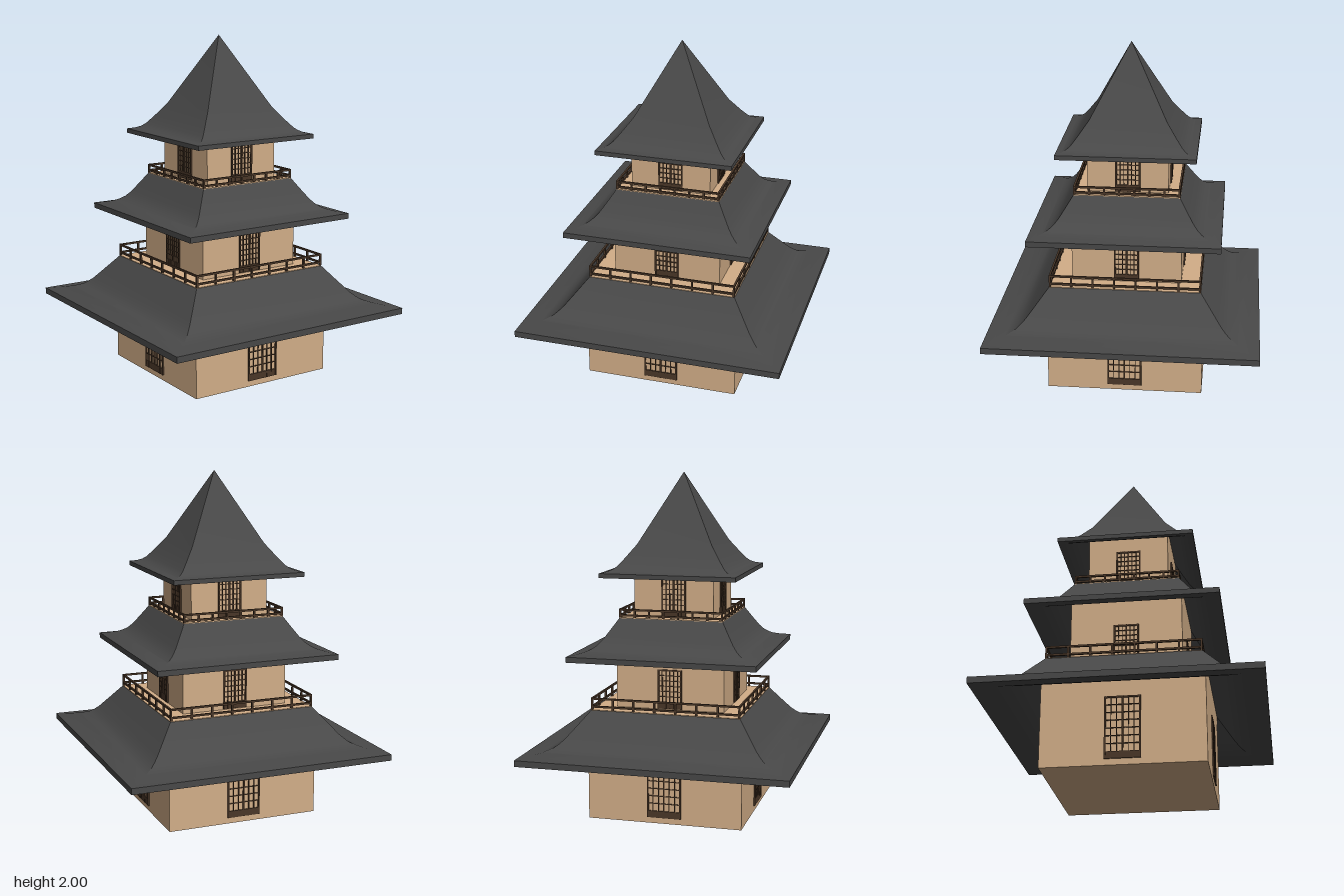
import * as THREE from 'three';
import { toCreasedNormals } from 'three/addons/utils/BufferGeometryUtils.js';

const plaster = new THREE.MeshStandardMaterial({ color: 0xd2ae88 });
const tiles = new THREE.MeshStandardMaterial({ color: 0x484848 });
const wood = new THREE.MeshStandardMaterial({ color: 0x4a3728 });

function box(parent, name, material, size, position) {
  const mesh = new THREE.Mesh(new THREE.BoxGeometry(...size), material);
  mesh.name = name;
  mesh.position.set(...position);
  parent.add(mesh);
  return mesh;
}

// Four copies of a side part, one facing each direction
function onFourSides(parent, name, build) {
  for (let i = 0; i < 4; i++) {
    const side = new THREE.Group();
    side.name = name;
    side.rotation.y = (i * Math.PI) / 2;
    build(side);
    parent.add(side);
  }
}

// Square hollow roof; profile lists [half width, height] from eave to top
function roof(profile, eaveThickness) {
  const underside = profile.map(([r, y]) => [r, y - eaveThickness]).reverse();
  const points = [...underside, ...profile].map(
    ([r, y]) => new THREE.Vector2(r * Math.SQRT2, y));
  const lathe = new THREE.LatheGeometry(points, 4);
  lathe.rotateY(Math.PI / 4);
  const mesh = new THREE.Mesh(toCreasedNormals(lathe, 0.45), tiles);
  mesh.name = 'roof';
  return mesh;
}

// Two-leaf lattice door with a solid kick panel
function latticeDoor(side, { half, bottom, top, rows }, wall) {
  const z = wall + 0.003;
  const height = top - bottom;
  const middle = (top + bottom) / 2;
  const kick = 0.04;
  box(side, 'kickPanel', wood, [half * 2, kick, 0.008], [0, bottom + kick / 2, z]);
  for (let i = 0; i <= 6; i++) {
    const w = i % 3 === 0 ? 0.009 : 0.004;
    const x = (half - 0.0045) * (i / 3 - 1);
    box(side, 'doorUpright', wood, [w, height, 0.01], [x, middle, z]);
  }
  for (let j = 1; j <= rows; j++) {
    const h = j === rows ? 0.009 : 0.004;
    const y = bottom + kick + ((height - kick - 0.0045) * j) / rows;
    box(side, 'doorCrossbar', wood, [half * 2, h, 0.008], [0, y, z]);
  }
}

// One side of the balcony railing
function railing(side, { half, floor, height, bays }) {
  const t = 0.011;
  const z = half - t / 2;
  for (const y of [floor + height * 0.27, floor + height - t / 2]) {
    box(side, 'rail', wood, [half * 2, t, t], [0, y, z]);
  }
  for (let i = 0; i <= bays; i++) {
    const x = z * ((2 * i) / bays - 1);
    box(side, 'post', wood, [t, height, t], [x, floor + height / 2, z]);
  }
}

const storeys = [
  {
    wall: { half: 0.455, bottom: 0, top: 0.6 },
    door: { half: 0.1, bottom: 0.035, top: 0.39, rows: 7 },
    eave: 0.036,
    roof: [[0.783, 0.41], [0.72, 0.419], [0.66, 0.433], [0.61, 0.451],
      [0.585, 0.47], [0.56, 0.494], [0.5, 0.568], [0.44, 0.643]],
    rail: { half: 0.44, floor: 0.645, height: 0.072, bays: 7 },
  },
  {
    wall: { half: 0.32, bottom: 0.63, top: 1.12 },
    door: { half: 0.072, bottom: 0.65, top: 0.88, rows: 6 },
    eave: 0.032,
    roof: [[0.55, 0.97], [0.5, 0.979], [0.46, 0.99], [0.435, 1.002],
      [0.41, 1.02], [0.385, 1.048], [0.345, 1.108], [0.305, 1.17]],
    rail: { half: 0.307, floor: 1.17, height: 0.052, bays: 7 },
  },
  {
    wall: { half: 0.235, bottom: 1.155, top: 1.54 },
    door: { half: 0.072, bottom: 1.175, top: 1.4, rows: 6 },
    eave: 0.026,
    roof: [[0.398, 1.434], [0.36, 1.442], [0.335, 1.453], [0.315, 1.469],
      [0.28, 1.512], [0.222, 1.59], [0, 2]],
  },
];

export function createModel() {
  const pagoda = new THREE.Group();
  pagoda.name = 'pagoda';
  storeys.forEach((s, i) => {
    const storey = new THREE.Group();
    storey.name = `storey${i + 1}`;
    const { half, bottom, top } = s.wall;
    box(storey, 'walls', plaster, [half * 2, top - bottom, half * 2],
      [0, (top + bottom) / 2, 0]);
    onFourSides(storey, 'door', (side) => latticeDoor(side, s.door, half));
    storey.add(roof(s.roof, s.eave));
    // Balcony sits on the flat top of the roof
    if (s.rail) {
      const w = s.rail.half * 2;
      box(storey, 'balconyFloor', plaster, [w, 0.012, w], [0, s.rail.floor - 0.005, 0]);
      onFourSides(storey, 'railing', (side) => railing(side, s.rail));
    }
    pagoda.add(storey);
  });
  return pagoda;
}
